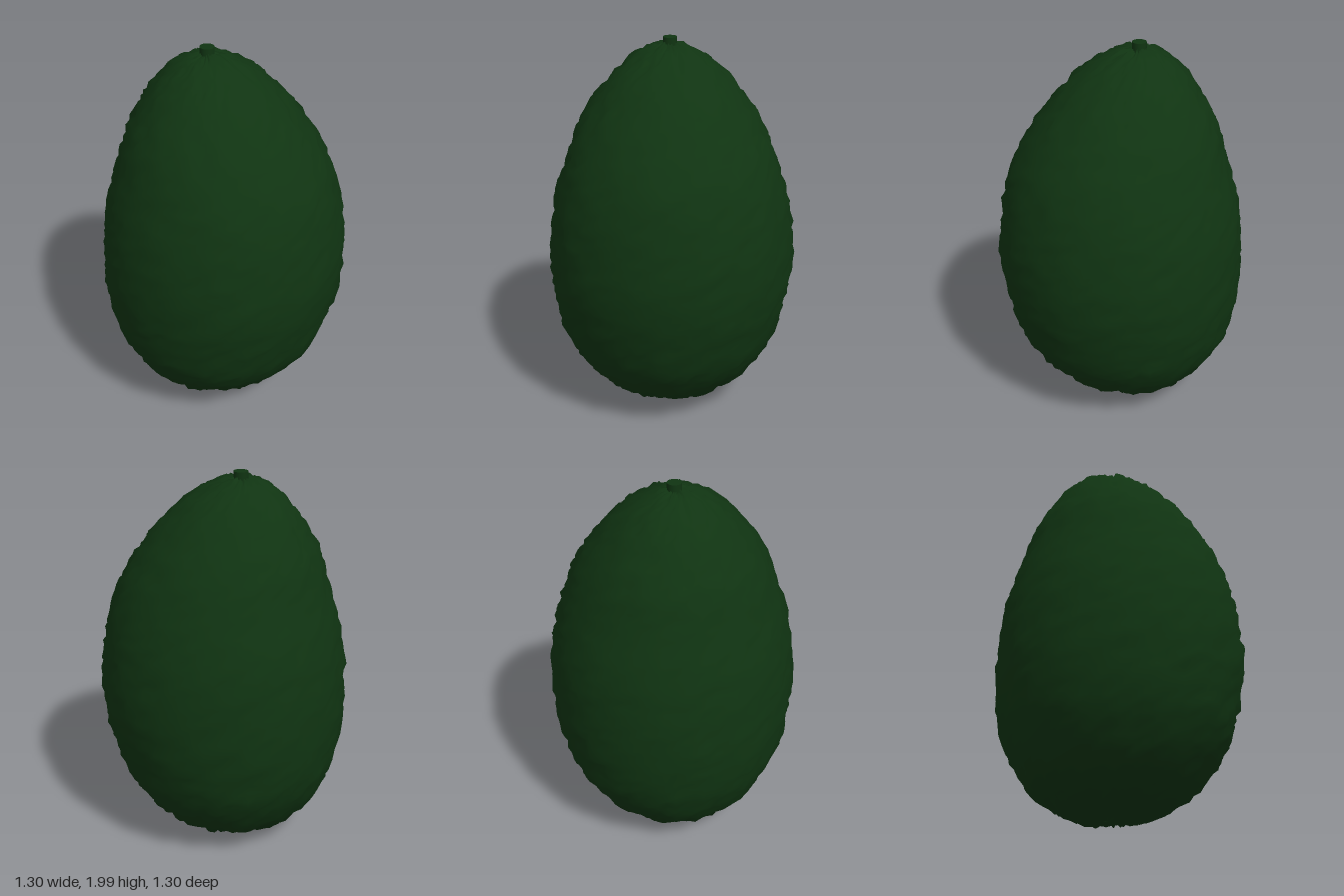
import * as THREE from 'three';

const RINGS = 68, SEGS = 76;

// Repeatable noise in -1..1 for one grid point
function noise(i, j) {
  const s = Math.sin(i * 127.1 + j * 311.7) * 43758.5453;
  return (s - Math.floor(s)) * 2 - 1;
}

// Skin: round cross-sections on a slightly bent axis, given as [radius, height, axis x]
function skinGeometry() {
  const curve = new THREE.CatmullRomCurve3([
    [0, 0.025, -0.08], [0.15, 0.04, -0.075], [0.3, 0.1, -0.06], [0.43, 0.2, -0.05],
    [0.56, 0.4, -0.03], [0.615, 0.6, -0.018], [0.638, 0.8, -0.005], [0.632, 1.0, 0],
    [0.6, 1.2, 0], [0.54, 1.4, 0], [0.45, 1.6, -0.03], [0.305, 1.8, -0.06],
    [0.19, 1.9, -0.08], [0.08, 1.957, -0.095], [0, 1.965, -0.1],
  ].map(p => new THREE.Vector3(...p)), false, 'centripetal');
  const profile = curve.getSpacedPoints(RINGS);

  // One closed surface with bumps of the given height pushed outwards
  const build = bump => {
    const pos = [], idx = [];
    profile.forEach((p, i) => {
      const a = profile[Math.max(i - 1, 0)], b = profile[Math.min(i + 1, RINGS)];
      const len = Math.hypot(b.x - a.x, b.y - a.y);
      const nr = (b.y - a.y) / len, ny = -(b.x - a.x) / len;
      const pole = i === 0 || i === RINGS;
      for (let j = 0; j < SEGS; j++) {
        const t = j / SEGS * Math.PI * 2;
        const d = pole ? 0 : bump * (noise(i, j) + 0.5 * noise(i >> 1, (j >> 1) + 500));
        const r = Math.max(p.x, 0) + d * nr * Math.min(1, p.x / 0.1);
        pos.push(p.z + r * Math.cos(t), p.y + d * ny, r * Math.sin(t));
        if (i === RINGS) continue;
        const k = (j + 1) % SEGS, q = i * SEGS;
        idx.push(q + j, q + SEGS + j, q + k, q + k, q + SEGS + j, q + SEGS + k);
      }
    });
    const g = new THREE.BufferGeometry();
    g.setAttribute('position', new THREE.Float32BufferAttribute(pos, 3));
    g.setIndex(idx);
    g.computeVertexNormals();
    return g;
  };

  // Softer normals keep the pebbled skin gently shaded
  const skin = build(0.012);
  skin.setAttribute('normal', build(0.004).getAttribute('normal'));
  return skin;
}

export function createModel() {
  const group = new THREE.Group();
  group.name = 'avocado';
  const darkGreen = new THREE.MeshStandardMaterial({ color: 0x103412 });
  darkGreen.name = 'darkGreenSkin';

  const skin = new THREE.Mesh(skinGeometry(), darkGreen);
  skin.name = 'skin';
  group.add(skin);

  // Short stem stub on the crown
  const stem = new THREE.Mesh(new THREE.CylinderGeometry(0.036, 0.036, 0.08, 24), darkGreen);
  stem.name = 'stem';
  stem.position.set(-0.1, 1.96, -0.008);
  group.add(stem);
  return group;
}
